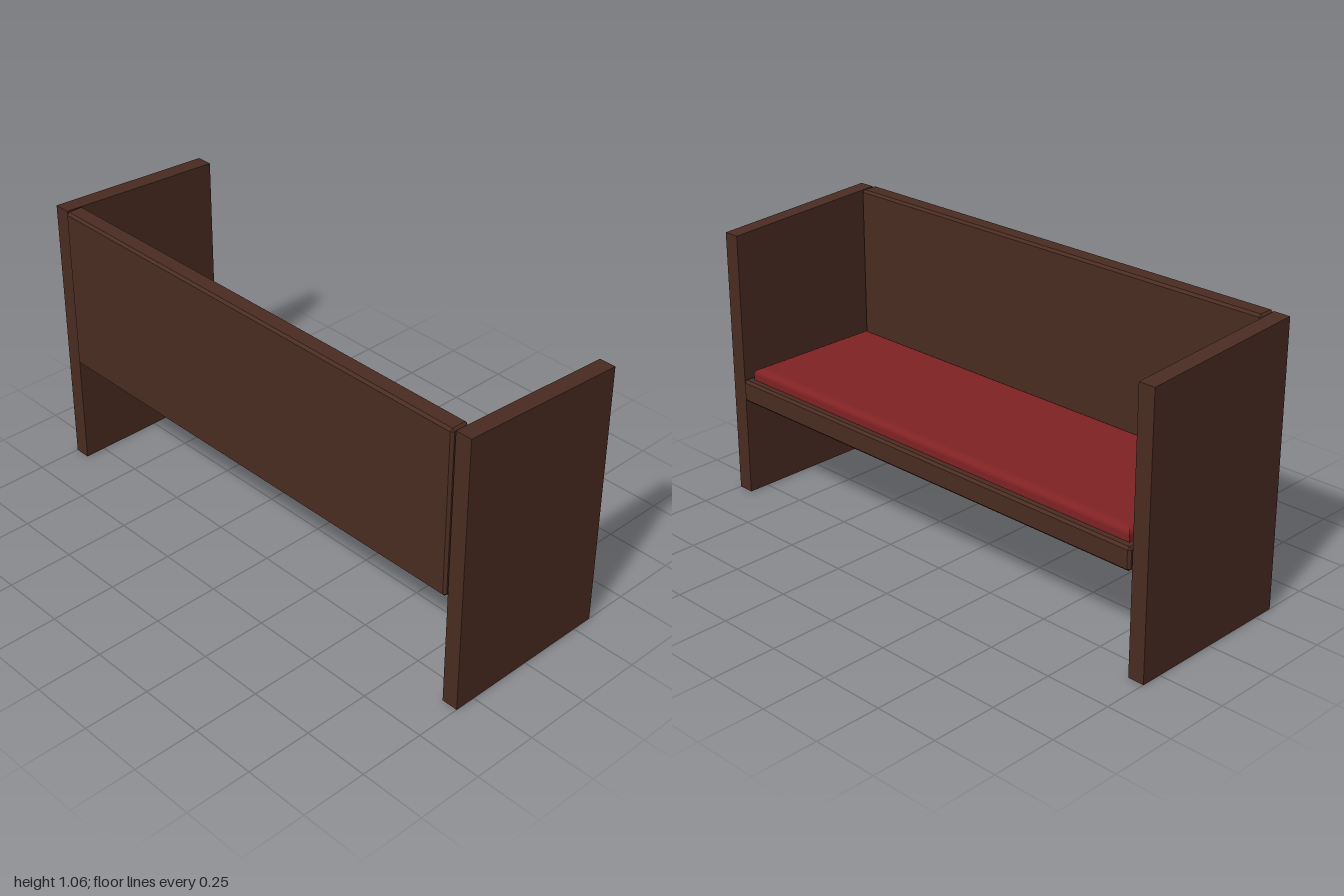
import * as THREE from 'three';
import { ConvexGeometry } from 'three/addons/geometries/ConvexGeometry.js';

const wood = new THREE.MeshStandardMaterial({ color: 0x4a2c22 });
wood.name = 'dark wood';
const fabric = new THREE.MeshStandardMaterial({ color: 0x802224 });
fabric.name = 'red fabric';

// Box between two corners with every edge chamfered by b
function chamferedBox(x0, x1, y0, y1, z0, z1, b) {
  const c = [(x0 + x1) / 2, (y0 + y1) / 2, (z0 + z1) / 2];
  const h = [(x1 - x0) / 2, (y1 - y0) / 2, (z1 - z0) / 2];
  const points = [];
  for (let axis = 0; axis < 3; axis++)
    for (const sx of [-1, 1]) for (const sy of [-1, 1]) for (const sz of [-1, 1]) {
      const p = [sx, sy, sz].map((s, i) => c[i] + s * (h[i] - (i === axis ? 0 : b)));
      points.push(new THREE.Vector3(...p));
    }
  return new ConvexGeometry(points);
}

export function createModel() {
  const group = new THREE.Group();
  const add = (name, geometry, material) => {
    const mesh = new THREE.Mesh(geometry, material);
    mesh.name = name;
    group.add(mesh);
    return mesh;
  };

  // Side panels with a top edge sloping down to the seat front
  const side = new THREE.Shape([
    new THREE.Vector2(-0.33, 0), new THREE.Vector2(0.33, 0),
    new THREE.Vector2(0.33, 1.02), new THREE.Vector2(-0.33, 1.058),
  ]);
  const sideGeometry = new THREE.ExtrudeGeometry(side, { depth: 0.062, bevelEnabled: false });
  add('nearSidePanel', sideGeometry, wood).position.z = 0.938;
  add('farSidePanel', sideGeometry, wood).position.z = -1;

  // Backrest and seat board between the panels
  add('backrest', chamferedBox(-0.34, -0.268, 0.43, 1.06, -0.934, 0.934, 0.009), wood);
  add('seatBoard', chamferedBox(-0.285, 0.34, 0.38, 0.465, -0.934, 0.934, 0.009), wood);

  // Cushion with a softly rounded top rim
  const bevel = 0.03;
  const w = 0.28 - bevel, l = 0.907 - bevel;
  const outline = new THREE.Shape([
    new THREE.Vector2(-w, -l), new THREE.Vector2(w, -l),
    new THREE.Vector2(w, l), new THREE.Vector2(-w, l),
  ]);
  const cushion = new THREE.ExtrudeGeometry(outline, {
    depth: 0.03, bevelThickness: 0.02, bevelSize: bevel, bevelSegments: 4,
  });
  cushion.rotateX(-Math.PI / 2);
  add('seatCushion', cushion, fabric).position.set(0.03, 0.46, 0);

  return group;
}
